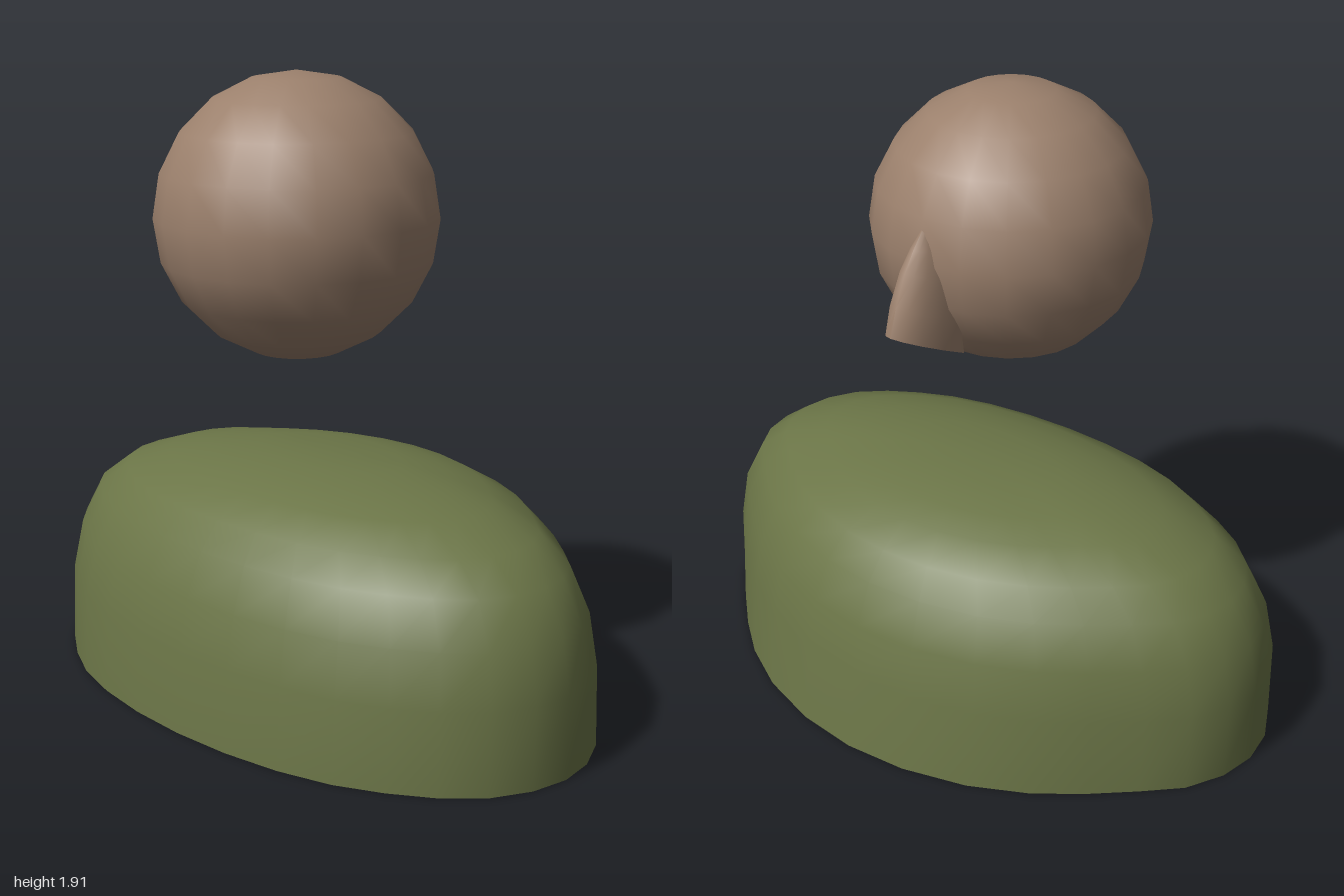
import * as THREE from 'three';
import { toCreasedNormals } from 'three/addons/utils/BufferGeometryUtils.js';

// Skin closed rings of [x, y, z] points (bottom to top, counterclockwise from above) and cap both ends
function loft(rings) {
  const n = rings[0].length;
  const pos = rings.flat(2);
  const index = [];
  for (let r = 0; r < rings.length - 1; r++) {
    for (let i = 0; i < n; i++) {
      const a = r * n + i, b = r * n + (i + 1) % n;
      index.push(a, b, b + n, a, b + n, a + n);
    }
  }
  const cap = (ring, first, up) => {
    const c = pos.length / 3;
    for (let k = 0; k < 3; k++) pos.push(ring.reduce((s, p) => s + p[k], 0) / n);
    for (let i = 0; i < n; i++) {
      const a = first + i, b = first + (i + 1) % n;
      index.push(c, up ? a : b, up ? b : a);
    }
  };
  cap(rings[0], 0, false);
  cap(rings[rings.length - 1], (rings.length - 1) * n, true);
  const g = new THREE.BufferGeometry();
  g.setAttribute('position', new THREE.Float32BufferAttribute(pos, 3));
  g.setIndex(index);
  return toCreasedNormals(g, 0.9);
}

export function createModel() {
  const group = new THREE.Group();
  const clothing = new THREE.MeshStandardMaterial({ name: 'olive clothing', color: 0x6b7547 });
  const skin = new THREE.MeshStandardMaterial({ name: 'brown skin', color: 0x9b806c });
  const add = (name, geometry, material) => {
    const mesh = new THREE.Mesh(geometry, material);
    mesh.name = name;
    group.add(mesh);
    return mesh;
  };

  // Torso: half outline (x, z) from front to back, mirrored, then shrunk level by level
  const half = [
    [0, 0.65], [0.2, 0.64], [0.39, 0.61], [0.56, 0.56], [0.7, 0.49], [0.82, 0.41], [0.92, 0.31], [0.98, 0.19],
    [1, 0.07], [0.98, -0.05], [0.92, -0.17], [0.82, -0.27], [0.7, -0.38], [0.57, -0.48], [0.4, -0.57], [0.2, -0.63], [0, -0.65],
  ];
  const outline = [...half, ...half.slice(1, -1).reverse().map(([x, z]) => [-x, z])];
  // Height, half width, front depth, back depth
  const levels = [
    [0, 1, 0.65, 0.65], [0.25, 1, 0.635, 0.615], [0.41, 0.97, 0.6, 0.585], [0.54, 0.9, 0.545, 0.53],
    [0.62, 0.79, 0.48, 0.465], [0.68, 0.62, 0.37, 0.365], [0.71, 0.47, 0.275, 0.27], [0.735, 0.28, 0.165, 0.16],
  ];
  add('torso', loft(levels.map(([y, w, front, back]) =>
    outline.map(([x, z]) => [x * w, y, z * (z > 0 ? front : back) / 0.65]))), clothing);

  // Head
  add('head', new THREE.SphereGeometry(0.425, 20, 10), skin).position.set(0, 1.49, 0.15);

  // Hair tuft: half-round sections; half width, inner y and z, outer y and z
  const sections = [
    [0.09, 1.2, -0.185, 1.305, -0.405], [0.088, 1.31, -0.2, 1.39, -0.38],
    [0.07, 1.44, -0.2, 1.48, -0.34], [0.045, 1.53, -0.2, 1.54, -0.3], [0.01, 1.6, -0.2, 1.6, -0.25],
  ];
  add('hairTuft', loft(sections.map(([w, y0, z0, y1, z1]) =>
    Array.from({ length: 9 }, (_, i) => {
      const a = Math.PI * i / 8, t = Math.sin(a);
      return [w * Math.cos(a), y0 + (y1 - y0) * t, z0 + (z1 - z0) * t];
    }))), skin);

  return group;
}
